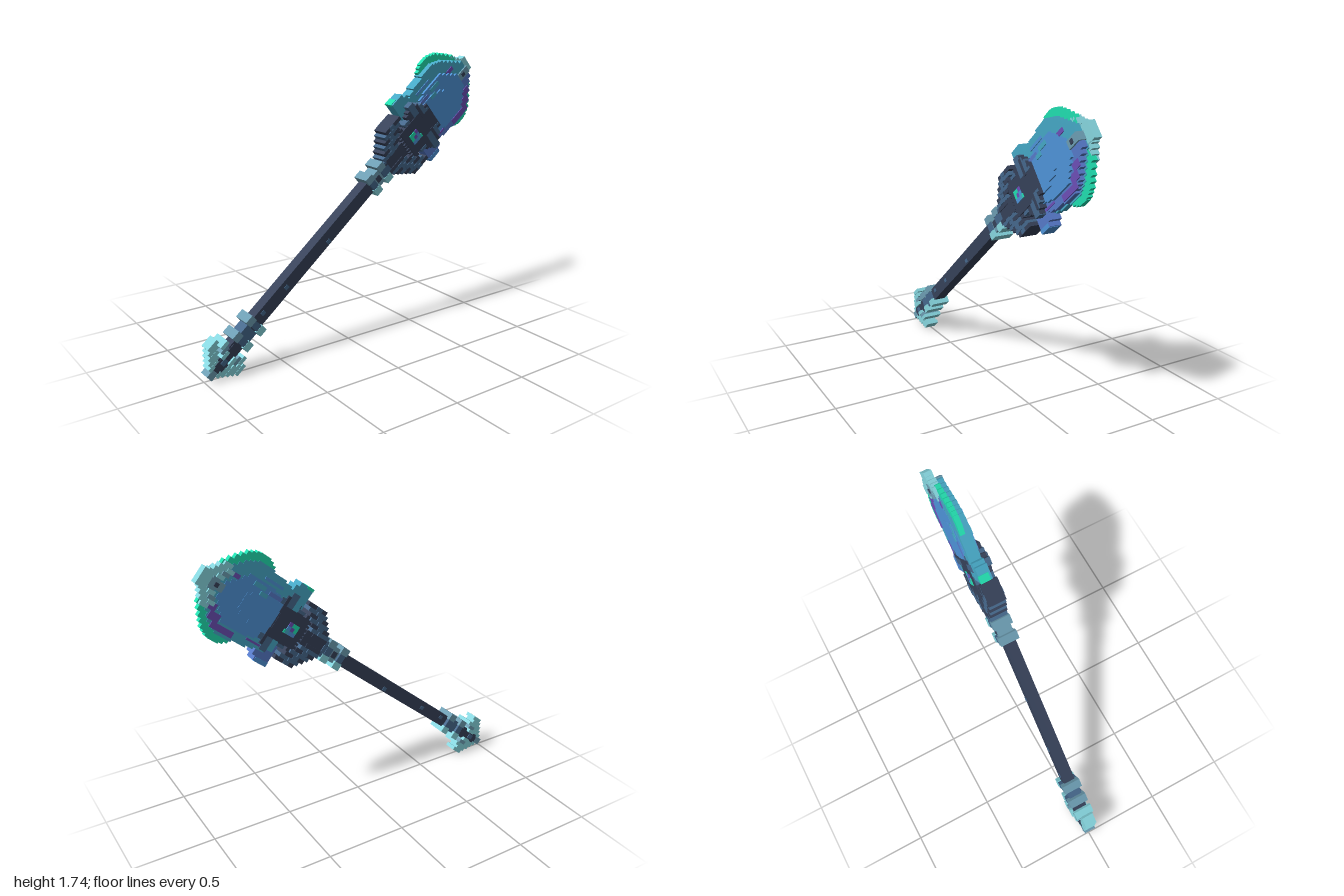
import * as THREE from 'three';

const mat = (name, color) => {
  const m = new THREE.MeshStandardMaterial({ color });
  m.name = name;
  return m;
};

export function createModel() {
  const navy = mat('dark navy', 0x364159), steel = mat('steel blue', 0x45688c);
  const pale = mat('pale teal', 0x86d6df), slate = mat('slate teal', 0x6c9db2);
  const green = mat('emerald', 0x20deb0), teal = mat('teal blue', 0x45a8c6);
  const blue = mat('crystal blue', 0x4e93d8), indigo = mat('indigo', 0x5679c8);
  const purple = mat('violet', 0x6c4eb6);
  const S = 0.0235; // size of one block

  // Everything is built along the shaft: u runs to the tip, v across, origin at the gem
  const spear = new THREE.Group();
  spear.name = 'spear';
  spear.position.set(0.463, 1.251, 0);
  spear.rotation.z = THREE.MathUtils.degToRad(40);

  const add = (name, geometry, material) => {
    const mesh = new THREE.Mesh(geometry, material);
    mesh.name = name;
    spear.add(mesh);
  };
  const box = (name, m, u0, u1, v0, v1, z0, z1) => {
    const g = new THREE.BoxGeometry(u1 - u0, Math.abs(v1 - v0), z1 - z0);
    add(name, g.translate((u0 + u1) / 2, (v0 + v1) / 2, (z0 + z1) / 2), m);
  };
  // Stepped half plate between the centre line and a row of block heights
  const stair = (name, m, u0, side, heights, z0, z1, inner = 0) => {
    const pts = [new THREE.Vector2(u0, inner * side)];
    heights.forEach((h, i) => {
      pts.push(new THREE.Vector2(u0 + i * S, h * S * side));
      pts.push(new THREE.Vector2(u0 + (i + 1) * S, h * S * side));
    });
    pts.push(new THREE.Vector2(u0 + heights.length * S, inner * side));
    const g = new THREE.ExtrudeGeometry(new THREE.Shape(pts), { depth: z1 - z0, bevelEnabled: false });
    add(name, g.translate(0, 0, z0), m);
  };
  // Pair of swept arms made of short bars, stepping along u as they go out
  const arms = (name, mats, count, v0, start, sweep, length, z0, z1) => {
    for (const side of [1, -1]) {
      for (let i = 0; i < count; i++) {
        const u = start + i * sweep, v = v0 + i * S;
        const inset = (i % 2) * 0.002;
        box(name, mats[i % mats.length], u, u + length, v * side, (v + S) * side, z0 + inset, z1 - inset);
      }
    }
  };

  // Shaft with small inlays on both faces
  box('shaft', navy, -1.84, -0.05, -0.039, 0.039, -0.03, 0.045);
  for (const [u, v] of [[-0.85, -0.02], [-1.22, 0], [-1.42, 0.01]]) {
    box('shaftInlay', steel, u - 0.014, u + 0.014, v - 0.012, v + 0.012, 0.044, 0.048);
    box('shaftInlay', steel, u - 0.014, u + 0.014, v - 0.012, v + 0.012, -0.033, -0.029);
  }

  // Collars at both ends of the shaft: a dark middle with light ends
  for (const u of [-0.435, -0.33, -1.53, -1.645]) {
    box('collarUpper', slate, u, u + 0.055, 0.026, 0.07, -0.055, 0.065);
    box('collarLower', pale, u, u + 0.055, -0.07, -0.026, -0.055, 0.065);
    box('collarMiddle', steel, u + 0.006, u + 0.049, -0.026, 0.026, -0.053, 0.063);
  }
  box('neck', slate, -0.385, -0.32, -0.046, 0.046, -0.04, 0.053);
  box('neckInlay', navy, -0.375, -0.34, -0.02, 0.02, -0.043, 0.056);
  box('lowerNeck', steel, -1.6, -1.53, -0.043, 0.043, -0.036, 0.05);

  // Pommel: narrow end, thin swept fins and a thick crown
  box('pommelTip', slate, -1.893, -1.82, -0.022, 0.022, -0.03, 0.045);
  box('pommelCore', navy, -1.82, -1.66, -0.03, 0.03, -0.036, 0.05);
  box('pommelInlay', steel, -1.79, -1.75, -0.015, 0.015, -0.04, 0.054);
  arms('pommelFin', [pale], 5, 0.02, -1.86, 0.02, 0.075, -0.031, 0.046);
  arms('pommelInnerFin', [pale, slate], 3, 0.022, -1.765, 0.02, 0.055, -0.055, 0.065);

  // Chevron crossguard
  arms('crossguard', [navy, steel], 7, 0.022, -0.285, 0.023, 0.14, -0.05, 0.06);
  arms('crossguardFacing', [steel], 6, 0.045, -0.21, 0.02, 0.04, -0.055, 0.065);
  box('crossguardCore', navy, -0.28, -0.1, -0.045, 0.045, -0.045, 0.055);
  box('crossguardBase', steel, -0.29, -0.255, -0.05, 0.05, -0.05, 0.06);

  // Gem housing with a toothed rear edge and stepped prongs round the front
  box('gemHousing', navy, -0.075, 0.12, -0.095, 0.095, -0.055, 0.065);
  for (const side of [1, -1]) {
    stair('housingFront', navy, 0.1, side, [5, 5, 4, 4], -0.053, 0.063);
    stair('housingProng', navy, 0.0, side, [5, 6, 6.5, 7, 7.5, 6.5, 5, 4], -0.05, 0.06, 0.07);
    stair('housingProngFacing', steel, 0.07, side, [7.7, 7.7, 6.5, 5.5, 3.2], -0.055, 0.065, 0.06);
    box('housingCheek', steel, -0.02, 0.03, 0.1 * side, 0.118 * side, -0.054, 0.064);
    box('housingBar', navy, 0.115, 0.135, 0.05 * side, 0.15 * side, -0.058, 0.068);
    for (let i = 0; i < 4; i++) {
      const u = -0.065 + i * 2 * S;
      box('housingTooth', navy, u, u + S, 0.09 * side, 0.115 * side, -0.05, 0.06);
      const v = (i + 0.1) * S;
      box('housingRearTooth', navy, -0.095, -0.07, v * side, (v + S * 0.6) * side, -0.05, 0.06);
    }
  }

  // Gem mosaic inlaid on both faces, one row per step along the shaft
  const gem = [[blue, green, green], [blue, purple, green], [teal, blue, purple]];
  for (const [z0, z1] of [[0.063, 0.07], [-0.06, -0.053]]) {
    gem.forEach((row, i) => row.forEach((m, j) => {
      const u = (i - 1.5) * S, v = (j - 1.5) * S;
      box('gemFacet', m, u, u + S, v, v + S, z0, z1);
    }));
    box('gemGlint', green, 0.036, 0.046, -0.036, -0.012, z0, z1);
  }

  // Crystal blade: teal and indigo stepped halves
  const body = [7, 7, 8, 8, 8, 8.5, 8.5, 9, 9, 9, 9, 9.5, 9.5, 9.5, 9.5, 9.5, 9, 8.5, 8, 7, 6, 5, 4, 3];
  stair('bladeUpper', teal, 0.03, 1, body, -0.052, 0.018);
  stair('bladeLowerBack', teal, 0.03, -1, body, -0.052, -0.015);
  stair('bladeLowerFront', indigo, 0.03, -1, body.map((h) => h - 0.4), -0.015, 0.018);

  // Barbs at the base and the emerald rim
  const rim = [10.2, 10.8, 11.2, 11.2, 11.2, 11, 10.5, 10, 9, 8, 6.8, 5.6];
  for (const side of [1, -1]) {
    const m = side > 0 ? teal : indigo;
    stair('bladeBarb', m, 0.014, side, [10.6, 10.6, 10.6, 10.6, 9.5], -0.05, 0.022, 0.12);
    stair('bladeRim', green, 0.3, side, rim, -0.05, -0.02);
  }
  box('barbGlow', green, 0.013, 0.06, 0.235, 0.252, -0.052, 0.01);
  box('barbShade', blue, 0.013, 0.1, -0.252, -0.225, -0.052, 0.024);

  // Raised facets on the front and back
  const facet = [5, 5, 5.5, 5.5, 6, 6, 6, 6, 6, 6, 6, 6, 5, 4, 3, 2];
  stair('bladeFacetUpper', blue, 0.13, 1, facet, -0.054, 0.034);
  stair('bladeFacetLower', blue, 0.13, -1, facet.map((h) => h + 0.7), -0.054, 0.034);
  for (const side of [1, -1]) {
    stair('bladeRidge', blue, 0.13, side, [4, 4, 4, 4, 4, 4, 3, 3, 3, 2], -0.056, 0.044);
  }

  // Violet strip along the lower edge, and coloured flecks
  for (const [z0, z1] of [[0.017, 0.023], [-0.056, -0.051]]) {
    box('violetEdge', purple, 0.3, 0.45, -0.205, -0.17, z0, z1);
    box('violetEdge', purple, 0.42, 0.49, -0.17, -0.125, z0, z1);
    box('violetEdge', purple, 0.47, 0.53, -0.125, -0.085, z0, z1);
    box('violetFleck', purple, 0.45, 0.51, 0.08, 0.105, z0, z1);
    box('blueFleck', blue, 0.19, 0.32, 0.155, 0.172, z0, z1);
    box('violetLine', purple, 0.12, 0.22, -0.17, -0.158, z0, z1);
  }
  for (const [z0, z1] of [[0.033, 0.039], [-0.058, -0.053]]) {
    box('indigoPatch', indigo, 0.16, 0.25, 0.095, 0.118, z0, z1);
    box('tealStreak', teal, 0.28, 0.36, 0.1, 0.125, z0, z1);
  }
  for (const [z0, z1] of [[0.043, 0.048], [-0.06, -0.055]]) {
    box('tealStreak', teal, 0.25, 0.3, 0.07, 0.094, z0, z1);
  }

  // Pale tip: swept-back arms, point and grey centre
  arms('tipArm', [pale], 5, 0.012, 0.595, -0.018, 0.052, -0.068, -0.02);
  box('tipPoint', pale, 0.59, 0.655, -0.05, 0.05, -0.068, -0.02);
  arms('tipInner', [slate, pale], 4, 0.01, 0.54, -0.016, 0.045, -0.064, 0.012);
  box('tipCentre', slate, 0.5, 0.6, -0.024, 0.024, -0.066, 0.028);
  box('tipCore', navy, 0.535, 0.56, -0.012, 0.012, -0.07, 0.032);

  const model = new THREE.Group();
  model.name = 'blockSpear';
  model.add(spear);
  return model;
}
